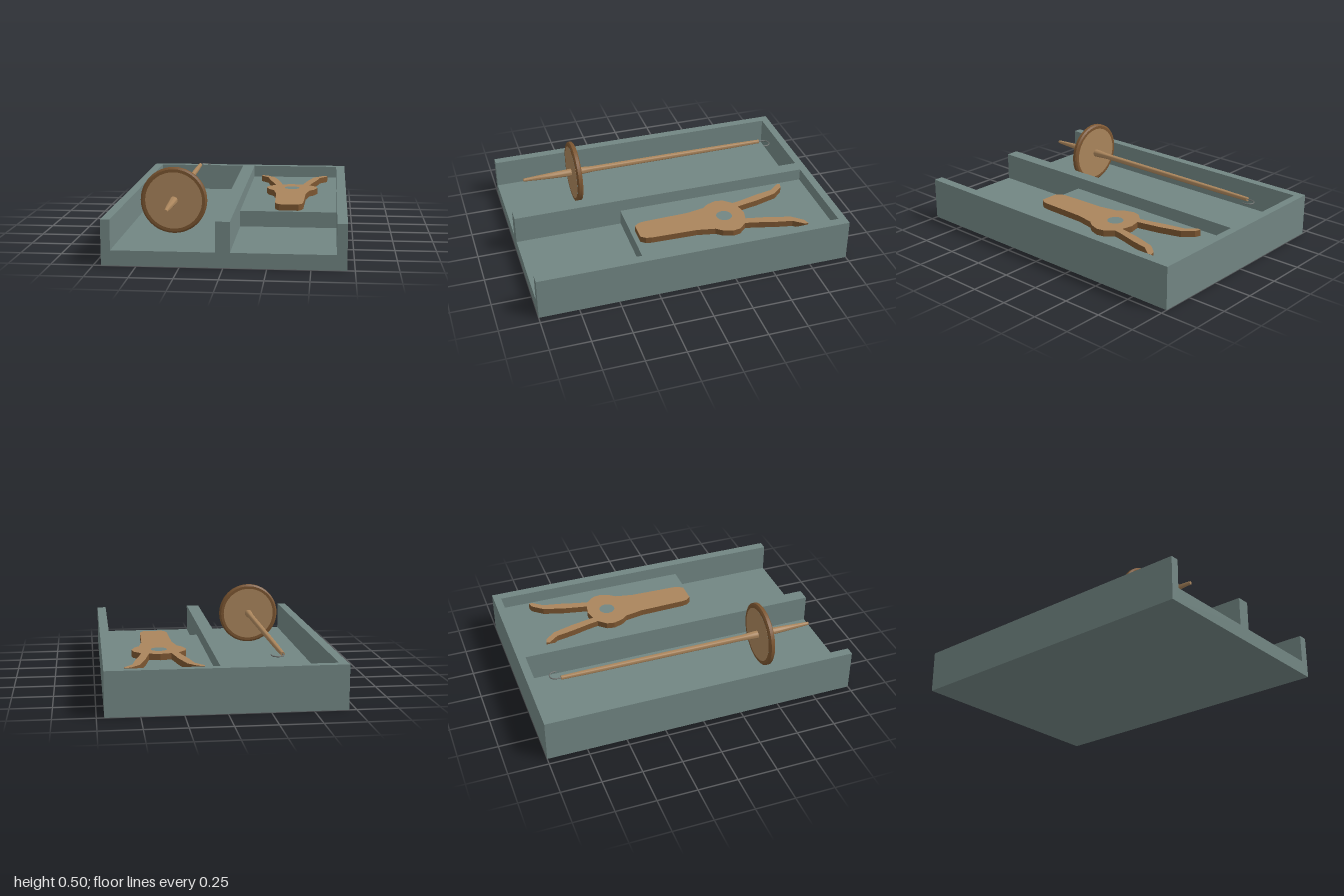
import * as THREE from 'three';
import { toCreasedNormals } from 'three/addons/utils/BufferGeometryUtils.js';

const material = (name, color) => {
  const m = new THREE.MeshStandardMaterial({ color });
  m.name = name;
  return m;
};

export function createModel() {
  const group = new THREE.Group();
  const trayGrey = material('trayGrey', 0x728683);
  const wood = material('lightWood', 0xaa855c);
  const darkWood = material('darkWood', 0x7c5631);
  const metal = material('hookMetal', 0x6c706e);

  const add = (name, geometry, mat, parent = group) => {
    const mesh = new THREE.Mesh(geometry, mat);
    mesh.name = name;
    parent.add(mesh);
    return mesh;
  };
  const vectors = (list) => list.map(([x, y]) => new THREE.Vector2(x, y));
  // Lathe whose axis runs along z
  const latheZ = (profile, segments) => toCreasedNormals(
    new THREE.LatheGeometry(vectors(profile), segments).rotateX(Math.PI / 2), 0.6);

  // Tray: two channels open at the front, closed by a back wall
  const tray = new THREE.Group();
  tray.name = 'tray';
  group.add(tray);
  const section = new THREE.Shape(vectors([
    [-0.705, 0], [0.705, 0], [0.705, 0.27], [0.645, 0.27], [0.645, 0.09], [0.04, 0.09],
    [0.04, 0.27], [-0.045, 0.27], [-0.045, 0.09], [-0.65, 0.09], [-0.65, 0.27], [-0.705, 0.27],
  ]));
  add('trayChannels', new THREE.ExtrudeGeometry(section, { depth: 1.95, bevelEnabled: false })
    .translate(0, 0, -0.95), trayGrey, tray);
  add('trayBackWall', new THREE.BoxGeometry(1.41, 0.27, 0.05), trayGrey, tray)
    .position.set(0, 0.135, -0.975);
  add('trayRaisedFloor', new THREE.BoxGeometry(0.605, 0.1, 1.26), trayGrey, tray)
    .position.set(0.3425, 0.14, -0.32);

  // Drop spindle, lying along z
  const spindle = new THREE.Group();
  spindle.name = 'spindle';
  spindle.position.set(-0.348, 0.295, 0);
  group.add(spindle);
  add('spindleShaft', latheZ([
    [0, -0.8], [0.013, -0.8], [0.016, -0.6], [0.018, 0], [0.019, 0.4], [0.025, 0.48],
    [0.025, 0.55], [0.021, 0.66], [0.015, 0.78], [0.01, 0.865], [0, 0.868],
  ], 24), wood, spindle);
  add('whorlRim', latheZ([
    [0.174, 0.505], [0.193, 0.505], [0.204, 0.513], [0.204, 0.533], [0.193, 0.541], [0.174, 0.541],
  ], 48), darkWood, spindle);
  for (const side of [-1, 1]) {
    const face = add(side > 0 ? 'whorlFrontFace' : 'whorlBackFace',
      new THREE.CircleGeometry(0.175, 48), wood, spindle);
    face.position.z = 0.523 + side * 0.019;
    if (side < 0) face.rotation.y = Math.PI;
  }

  // Wire hook at the back tip
  const hookPoints = [new THREE.Vector3(0, 0, -0.79)];
  for (let i = 0; i <= 8; i++) {
    const a = Math.PI * (1 - i / 8);
    hookPoints.push(new THREE.Vector3(0.035 + 0.035 * Math.cos(a), 0, -0.828 - 0.035 * Math.sin(a)));
  }
  hookPoints.push(new THREE.Vector3(0.07, 0, -0.81));
  add('spindleHook', new THREE.TubeGeometry(
    new THREE.CatmullRomCurve3(hookPoints), 32, 0.004, 8), metal, spindle);

  // Flat forked board: half outline (x, z) mirrored about its centre line
  const half = [
    [0.07, -0.415], [0.1, -0.565], [0.14, -0.7], [0.195, -0.765], [0.234, -0.777], [0.237, -0.755],
    [0.185, -0.69], [0.163, -0.58], [0.13, -0.46], [0.117, -0.395], [0.163, -0.345], [0.172, -0.295],
    [0.152, -0.235], [0.12, -0.195], [0.098, -0.08], [0.09, 0.215], [0.083, 0.25], [0.06, 0.28],
  ];
  const outline = [[0, -0.43], ...half, ...half.map(([x, z]) => [-x, z]).reverse()];
  const shape = new THREE.Shape(vectors(outline.map(([x, z]) => [x, -z])));
  shape.holes.push(new THREE.Path().absarc(0, 0.295, 0.051, 0, Math.PI * 2, true));
  const board = add('forkedBoard', new THREE.ExtrudeGeometry(shape, {
    depth: 0.04, bevelEnabled: false, curveSegments: 10,
  }).rotateX(-Math.PI / 2), [wood, darkWood]);
  board.position.set(0.344, 0.1905, 0);

  return group;
}
